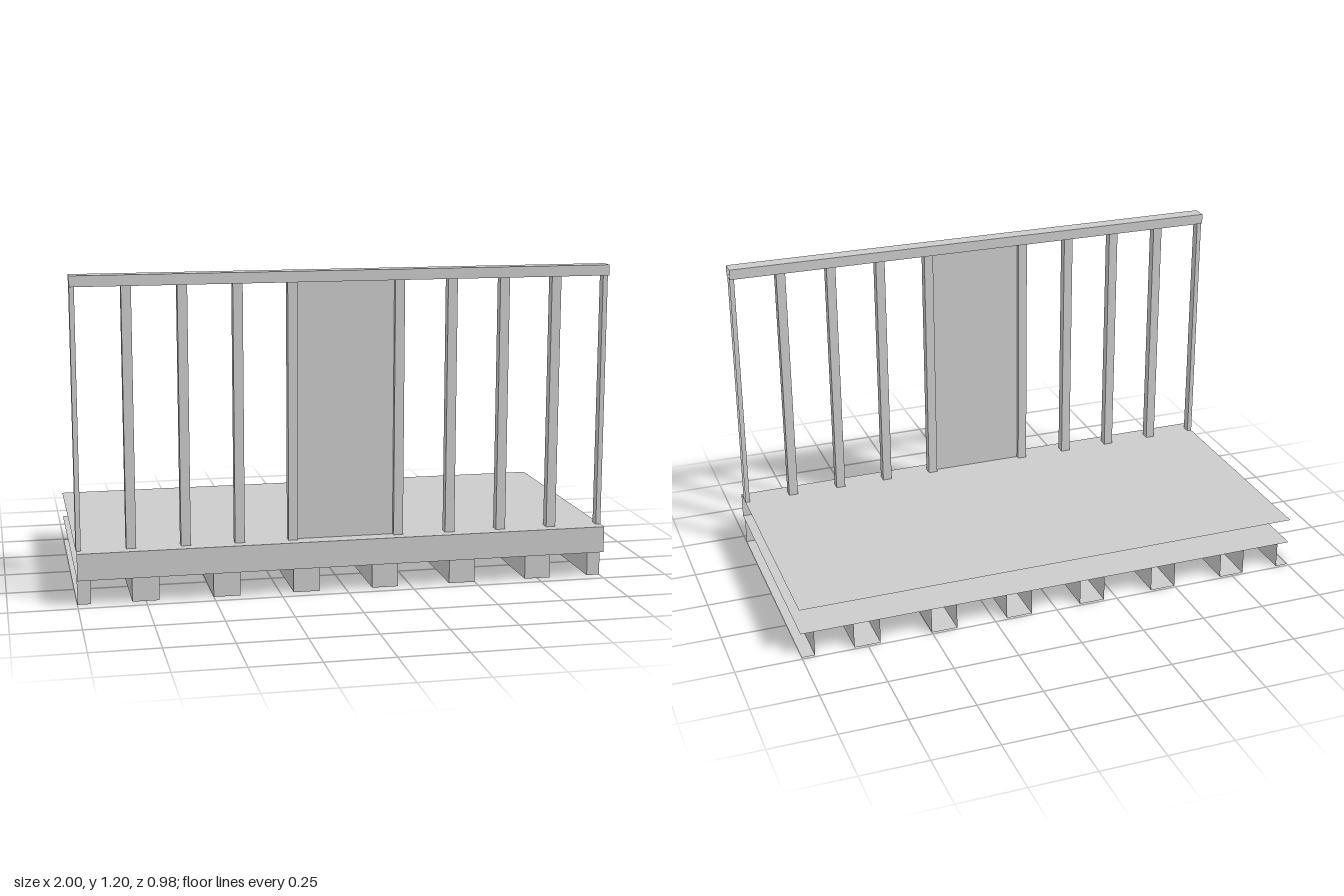
import * as THREE from 'three';

const material = new THREE.MeshStandardMaterial({
  color: 0xcccccc, flatShading: true, side: THREE.DoubleSide,
});
const FACES = ['+x', '-x', '+y', '-y', '+z', '-z'];

// Box between two corners that keeps only the listed sides
function shell(name, [x0, y0, z0], [x1, y1, z1], keep) {
  const geometry = new THREE.BoxGeometry(x1 - x0, y1 - y0, z1 - z0);
  const index = Array.from(geometry.index.array);
  geometry.setIndex(FACES.flatMap((f, i) => (keep.includes(f) ? index.slice(i * 6, i * 6 + 6) : [])));
  geometry.clearGroups();
  geometry.translate((x0 + x1) / 2, (y0 + y1) / 2, (z0 + z1) / 2);
  const mesh = new THREE.Mesh(geometry, material);
  mesh.name = name;
  return mesh;
}

// Sides of a member along x; those cut at the module's ends stay open there
function sides(x, halfWidth) {
  const range = [Math.max(-1, x - halfWidth), Math.min(1, x + halfWidth)];
  const keep = [];
  if (range[1] < 1) keep.push('+x');
  if (range[0] > -1) keep.push('-x');
  return { range, keep };
}

export function createModel() {
  const model = new THREE.Group();
  model.name = 'balconySection';

  // Deck: top sheet, soffit and front fascia, open at the ends and back
  model.add(shell('deck', [-1, 0.1, -0.49], [1, 0.2, 0.49], ['+y', '-y', '+z']));

  // Joists under the deck, open at the back
  const joists = new THREE.Group();
  joists.name = 'joists';
  for (const c of [-1, -0.75, -0.45, -0.15, 0.15, 0.45, 0.75, 1]) {
    const { range: [a, b], keep } = sides(c, 0.05);
    joists.add(shell('joist', [a, 0, -0.49], [b, 0.1, 0.45], [...keep, '-y', '+z']));
  }
  model.add(joists);

  // Railing posts, half posts at both ends
  const posts = new THREE.Group();
  posts.name = 'railingPosts';
  for (const c of [0.2, 0.4, 0.6, 0.8, 1]) {
    for (const s of [-1, 1]) {
      const { range: [a, b], keep } = sides(s * c, 0.018);
      posts.add(shell('post', [a, 0.2, 0.412], [b, 1.16, 0.448], [...keep, '+z', '-z']));
    }
  }
  model.add(posts);

  // Thin infill panel between the two middle posts
  const panel = new THREE.Mesh(new THREE.PlaneGeometry(0.4, 0.96), material);
  panel.name = 'infillPanel';
  panel.position.set(0, 0.68, 0.43);
  model.add(panel);

  // Handrail with open ends
  model.add(shell('handrail', [-1, 1.16, 0.403], [1, 1.2, 0.463], ['+y', '-y', '+z', '-z']));

  return model;
}
